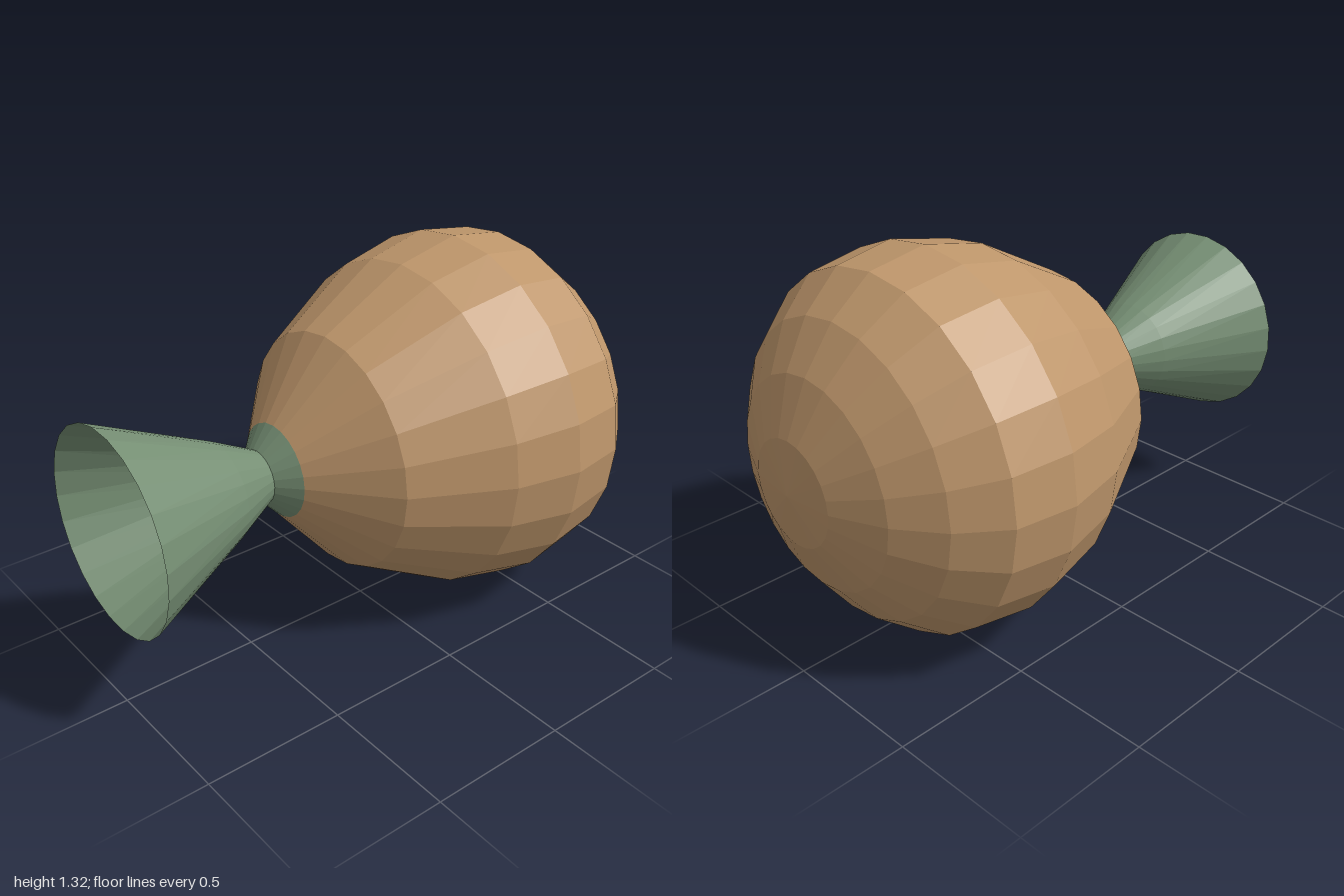
import * as THREE from 'three';

const SIDES = 24;
const AXIS_HEIGHT = 0.66;

// Faceted surface of revolution about z; profile is [radius, z] from back to front.
// twist(z) turns each ring about the axis.
function turned(name, profile, material, twist) {
  const points = profile.map(([r, z]) => new THREE.Vector2(r, z));
  const lathe = new THREE.LatheGeometry(points, SIDES);
  lathe.rotateX(Math.PI / 2);
  if (twist) {
    const p = lathe.attributes.position;
    for (let i = 0; i < p.count; i++) {
      const x = p.getX(i), y = p.getY(i), a = twist(p.getZ(i));
      p.setXY(i, x * Math.cos(a) - y * Math.sin(a), x * Math.sin(a) + y * Math.cos(a));
    }
  }
  const geometry = lathe.toNonIndexed();
  geometry.computeVertexNormals();
  const mesh = new THREE.Mesh(geometry, material);
  mesh.name = name;
  mesh.position.y = AXIS_HEIGHT;
  return mesh;
}

export function createModel() {
  const tan = new THREE.MeshStandardMaterial({ color: 0xbe966b, flatShading: true });
  tan.name = 'tan';
  const green = new THREE.MeshStandardMaterial({
    color: 0x768f74, flatShading: true, side: THREE.DoubleSide,
  });
  green.name = 'sage green';

  const group = new THREE.Group();
  group.name = 'bulbWithHorn';

  // Rounded bulb, closed at the back
  group.add(turned('bulb', [
    [0, -1], [0.18, -0.98], [0.36, -0.9], [0.508, -0.79], [0.625, -0.64],
    [0.658, -0.42], [0.605, -0.18], [0.428, 0.15], [0.168, 0.37],
  ], tan));

  // Collar between bulb and horn
  group.add(turned('collar', [[0.168, 0.37], [0.095, 0.438]], green));

  // Open flared horn with a small closed throat, slightly twisted
  group.add(turned('horn', [
    [0, 0.355], [0.053, 0.355], [0.095, 0.438], [0.172, 0.59], [0.357, 1],
  ], green, (z) => 0.085 * Math.max(0, (z - 0.44) / 0.56)));

  return group;
}
